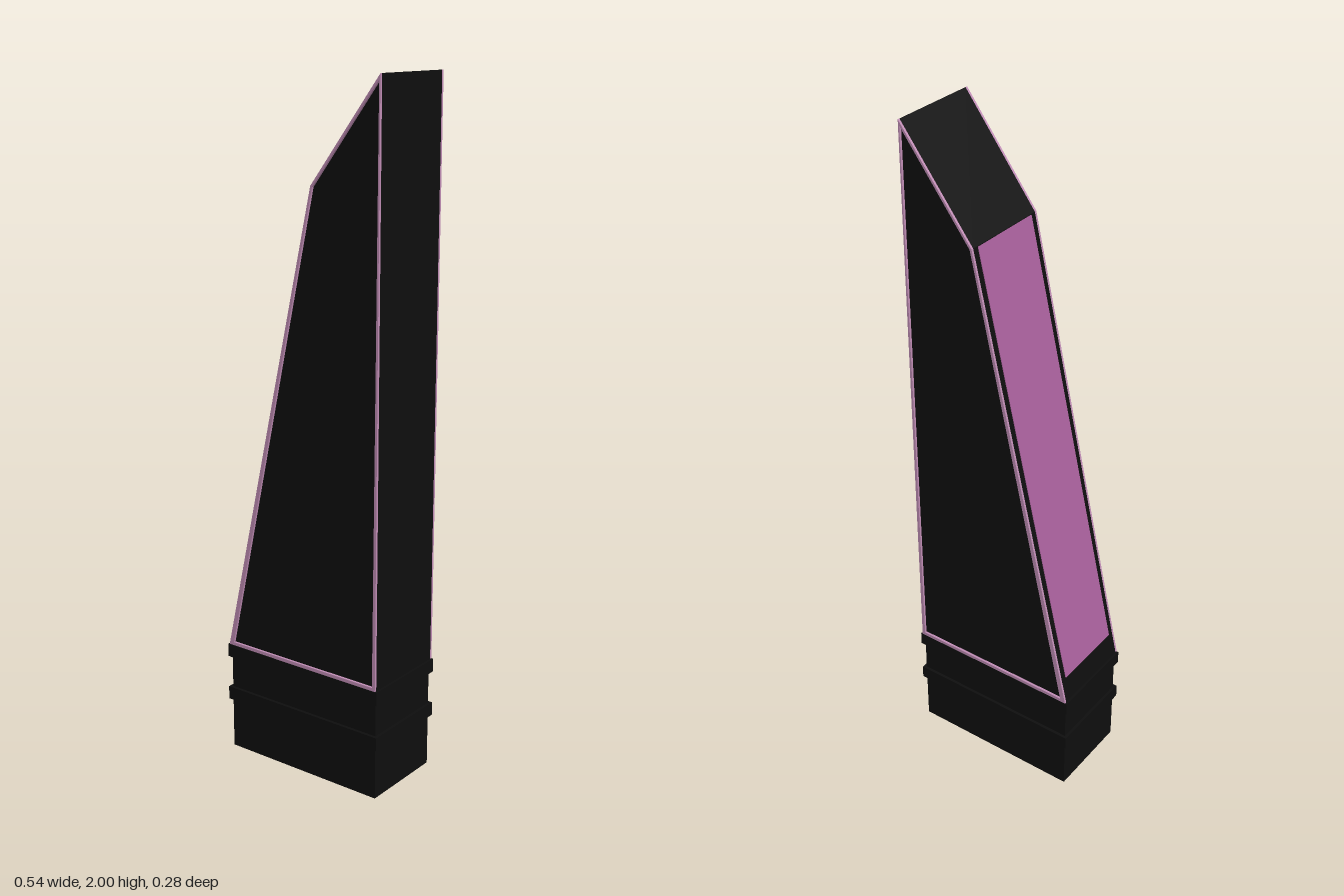
import * as THREE from 'three';

const mat = (name, color) => {
  const m = new THREE.MeshStandardMaterial({ color });
  m.name = name;
  return m;
};

// Closed outline in the front plane
const outline = (points, Kind = THREE.Shape) => new Kind(points.map(([x, y]) => new THREE.Vector2(x, y)));

export function createModel() {
  const black = mat('black', 0x0e0e0e);
  const purple = mat('purple', 0xa8609b);
  const pink = mat('pink', 0xbf8cb4);

  const model = new THREE.Group();
  model.name = 'wedgeTower';
  const add = (name, geometry, material, x = 0, y = 0, z = 0) => {
    const mesh = new THREE.Mesh(geometry, material);
    mesh.name = name;
    mesh.position.set(x, y, z);
    model.add(mesh);
    return mesh;
  };
  const extrude = (shape, depth) => new THREE.ExtrudeGeometry(shape, { depth, bevelEnabled: false });

  // Tall wedge body with a sloping left side and a cut top
  const profile = [[-0.266, 0.335], [0.266, 0.335], [0.266, 2], [0.045, 1.71]];
  const halfDepth = 0.134;
  add('body', extrude(outline(profile), halfDepth * 2), black, 0, 0, -halfDepth);

  // Thin trim frames around the front and back faces
  const frame = outline(profile);
  frame.holes.push(outline([[-0.249, 0.345], [0.051, 1.707], [0.262, 1.984], [0.256, 0.345]], THREE.Path));
  const trimDepth = 0.007;
  add('frontTrim', extrude(frame, trimDepth), pink, 0, 0, halfDepth);
  add('backTrim', extrude(frame, trimDepth), pink, 0, 0, -halfDepth - trimDepth);

  // Coloured panel lying on the long slope
  const low = new THREE.Vector2(-0.249, 0.41);
  const high = new THREE.Vector2(0.0445, 1.708);
  const run = high.clone().sub(low);
  const panel = add('slopePanel', new THREE.BoxGeometry(0.004, run.length(), 0.232), purple,
    (low.x + high.x) / 2, (low.y + high.y) / 2, 0);
  panel.rotation.z = -Math.atan2(run.x, run.y);

  // Plinth, slightly hollow underneath
  const rect = (w, d, Kind) => outline([[-w, -d], [w, -d], [w, d], [-w, d]], Kind);
  const rim = rect(0.263, 0.132);
  rim.holes.push(rect(0.243, 0.112, THREE.Path));
  add('plinthRim', extrude(rim, 0.05), black, 0, 0.05, 0).rotation.x = Math.PI / 2;
  add('plinth', new THREE.BoxGeometry(0.526, 0.285, 0.264), black, 0, 0.1925, 0);

  // Raised bands around the plinth
  for (const [name, y] of [['lowerBand', 0.175], ['upperBand', 0.314]]) {
    add(name, new THREE.BoxGeometry(0.544, 0.04, 0.282), black, 0, y, 0);
  }
  return model;
}
